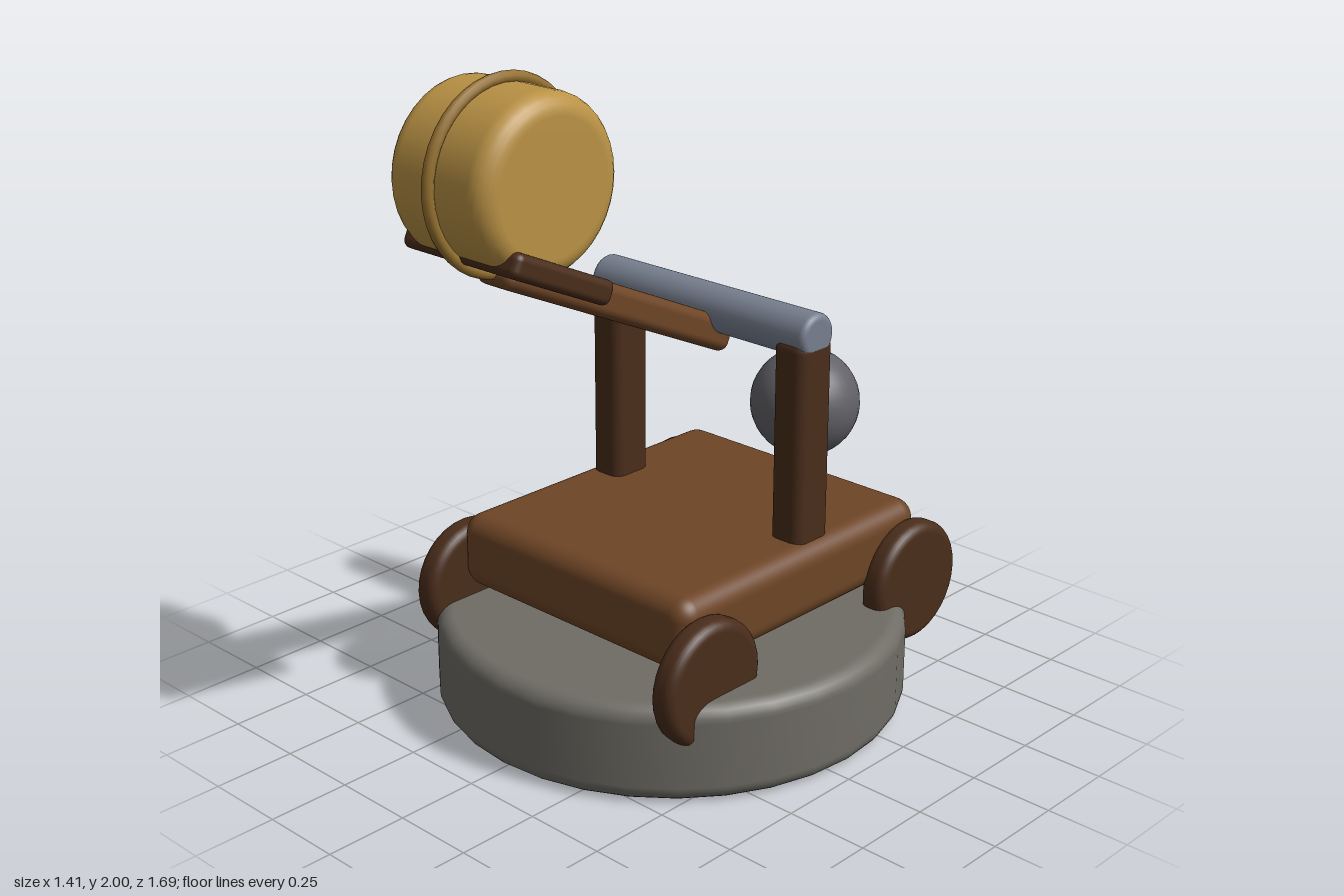
import * as THREE from 'three';
import { RoundedBoxGeometry } from 'three/addons/geometries/RoundedBoxGeometry.js';

const material = (color) => new THREE.MeshStandardMaterial({ color });
const stone = material(0x6f6c65);
const wood = material(0x6e4526);
const darkWood = material(0x4a2d1b);
const steel = material(0x777f8f);
const iron = material(0x626167);
const gold = material(0xba9245);
const darkGold = material(0x94702f);

// Solid disc along y with rounded rims.
function roundedDisc(radius, height, bevel, segments) {
  const h = height / 2;
  const points = [new THREE.Vector2(0, -h)];
  const steps = 6;
  for (const side of [-1, 1]) {
    for (let i = 0; i <= steps; i++) {
      const a = (side < 0 ? i / steps - 1 : i / steps) * Math.PI / 2;
      points.push(new THREE.Vector2(
        radius - bevel + bevel * Math.cos(a),
        side * (h - bevel) + bevel * Math.sin(a)));
    }
  }
  points.push(new THREE.Vector2(0, h));
  return new THREE.LatheGeometry(points, segments);
}

export function createModel() {
  const model = new THREE.Group();
  model.name = 'catapult';

  function add(name, geometry, mat, x, y, z) {
    const mesh = new THREE.Mesh(geometry, mat);
    mesh.name = name;
    mesh.position.set(x, y, z);
    model.add(mesh);
    return mesh;
  }

  // Round stone base and wooden chassis
  add('base', roundedDisc(0.705, 0.295, 0.05, 32), stone, 0, 0.152, -0.065);
  add('chassis', new RoundedBoxGeometry(0.92, 0.23, 1.04, 5, 0.06), wood, 0, 0.455, -0.15);

  // Four wheels and two uprights
  const wheel = roundedDisc(0.188, 0.084, 0.032, 32).rotateZ(-Math.PI / 2);
  const post = new RoundedBoxGeometry(0.115, 0.7, 0.145, 4, 0.035);
  for (const side of [-1, 1]) {
    const label = side > 0 ? 'left' : 'right';
    add(label + 'FrontWheel', wheel, darkWood, side * 0.484, 0.335, 0.308);
    add(label + 'BackWheel', wheel, darkWood, side * 0.484, 0.335, -0.598);
    add(label + 'Post', post, darkWood, side * 0.363, 0.83, -0.22);
  }

  // Steel axle across the uprights
  add('crossbar', roundedDisc(0.069, 0.84, 0.02, 24).rotateZ(-Math.PI / 2),
    steel, 0, 1.185, -0.22);

  // Throwing arm with the tray at its upper end
  const tilt = -Math.atan(0.458);
  add('arm', new RoundedBoxGeometry(0.145, 0.1, 0.95, 4, 0.03),
    wood, 0, 1.291, 0.18).rotation.x = tilt;
  add('tray', new RoundedBoxGeometry(0.44, 0.07, 0.38, 4, 0.022),
    darkWood, 0, 1.485, 0.56).rotation.x = tilt;

  // Drum resting on the tray, with a hoop around its middle
  add('drum', roundedDisc(0.247, 0.385, 0.06, 36).rotateZ(-Math.PI / 2),
    gold, 0, 1.725, 0.57);
  add('drumHoop', new THREE.TorusGeometry(0.258, 0.017, 10, 40).rotateY(Math.PI / 2),
    darkGold, 0, 1.725, 0.57);

  // Counterweight ball floating behind
  add('ball', new THREE.SphereGeometry(0.172, 32, 20), iron, 0, 0.762, -0.672);

  return model;
}
